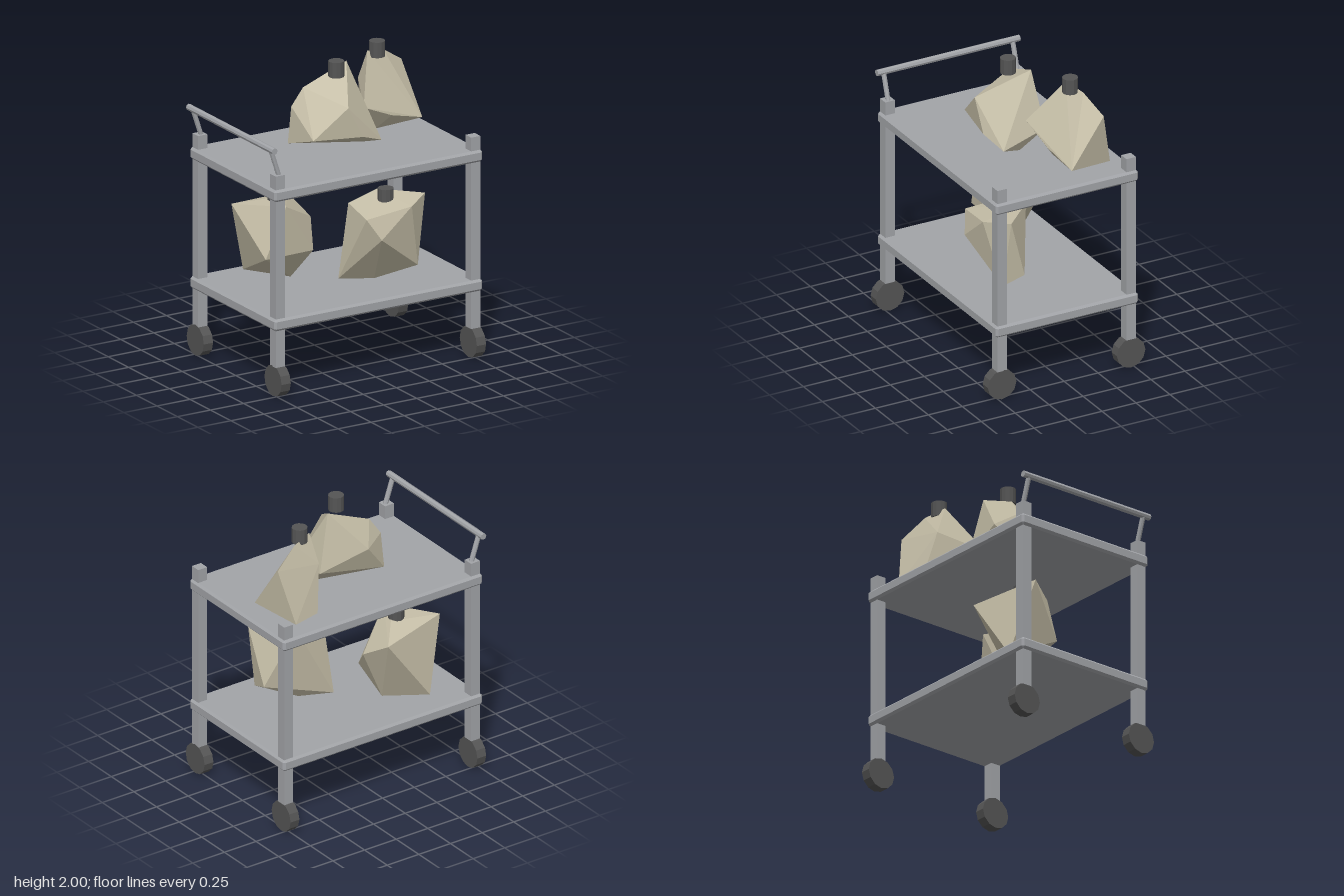
import * as THREE from 'three';
import { ConvexGeometry } from 'three/addons/geometries/ConvexGeometry.js';

const flat = (name, color) => {
  const m = new THREE.MeshStandardMaterial({ color, flatShading: true });
  m.name = name;
  return m;
};

// Box with every edge chamfered by c
function chamferBox(w, h, d, c) {
  const pts = [];
  for (const sx of [-1, 1]) for (const sy of [-1, 1]) for (const sz of [-1, 1]) {
    for (let k = 0; k < 3; k++) {
      pts.push(new THREE.Vector3(
        sx * (w / 2 - (k === 0 ? 0 : c)),
        sy * (h / 2 - (k === 1 ? 0 : c)),
        sz * (d / 2 - (k === 2 ? 0 : c))));
    }
  }
  return new ConvexGeometry(pts);
}

// Main corners of each faceted sack, with the centre of its cap
const sacks = [
  { name: 'topCentreSack', cap: [0.01, 1.95, 0], pts: [
    [-0.27, 1.45, -0.14], [-0.265, 1.55, 0.165], [-0.25, 1.7, -0.13], [-0.17, 1.82, -0.115],
    [0.145, 1.95, -0.095], [-0.035, 1.75, 0.22], [0.08, 1.535, 0.22], [0.25, 1.47, 0.165],
    [0.2, 1.425, 0.02], [0.24, 1.56, -0.145], [-0.1, 1.66, -0.205]] },
  { name: 'topSideSack', cap: [0.45, 1.947, -0.212], pts: [
    [0.225, 1.64, -0.012], [0.455, 1.54, -0.04], [0.71, 1.47, -0.08], [0.38, 1.44, -0.12],
    [0.62, 1.425, -0.41], [0.42, 1.43, -0.37], [0.7, 1.8, -0.32], [0.53, 1.91, -0.265],
    [0.38, 1.94, -0.22], [0.36, 1.74, -0.3]] },
  { name: 'lowerBackSack', cap: [-0.34, 1.08, -0.175], pts: [
    [-0.61, 1.06, -0.28], [-0.375, 1.08, 0.01], [-0.28, 1.075, -0.2], [-0.12, 1.02, -0.395],
    [-0.06, 0.9, -0.2], [-0.51, 0.735, -0.02], [-0.145, 0.735, -0.03], [-0.46, 0.56, -0.38],
    [-0.23, 0.53, -0.17]] },
  { name: 'lowerFrontSack', cap: [0.275, 1.09, 0.175], pts: [
    [0.035, 1.01, 0.33], [0.52, 1.09, 0.26], [0.35, 1.06, 0.375], [0.12, 0.87, 0.38],
    [0.45, 0.62, 0.285], [0.48, 0.68, 0.14], [0.21, 0.53, 0.14], [0, 0.535, 0.04],
    [0.3, 1.09, 0.03], [0.07, 1.04, 0.05]] },
];

export function createModel() {
  const group = new THREE.Group();
  group.name = 'trolley';
  const steel = flat('steel', 0xa2a4a8);
  const rubber = flat('darkRubber', 0x555555);
  const cream = flat('creamSack', 0xc6bfa8);

  const add = (name, geo, mat, x = 0, y = 0, z = 0) => {
    const mesh = new THREE.Mesh(geo, mat);
    mesh.name = name;
    mesh.position.set(x, y, z);
    group.add(mesh);
    return mesh;
  };

  // Shelves
  const shelf = chamferBox(1.575, 0.08, 1.05, 0.015);
  add('lowerShelf', shelf, steel, 0.01, 0.49, 0);
  add('upperShelf', shelf, steel, 0.01, 1.367, 0);

  // Legs and wheels at the four corners
  const leg = new THREE.BoxGeometry(0.07, 1.3, 0.07);
  const wheel = new THREE.CylinderGeometry(0.105, 0.105, 0.07, 12).rotateZ(Math.PI / 2);
  for (const x of [-0.727, 0.749]) for (const z of [-0.475, 0.475]) {
    add('leg', leg, steel, x, 0.85, z);
    add('wheel', wheel, rubber, x, 0.105, z);
  }

  // Push handle: two leaning struts and a cross bar
  const foot = new THREE.Vector2(-0.718, 1.49), grip = new THREE.Vector2(-0.78, 1.677);
  const lean = grip.clone().sub(foot);
  const strut = new THREE.CylinderGeometry(0.017, 0.017, lean.length(), 8);
  for (const z of [-0.475, 0.475]) {
    add('handleStrut', strut, steel, (foot.x + grip.x) / 2, (foot.y + grip.y) / 2, z)
      .rotation.z = Math.atan2(-lean.x, lean.y);
  }
  add('handleBar', new THREE.CylinderGeometry(0.022, 0.022, 1.05, 8).rotateX(Math.PI / 2),
    steel, grip.x, grip.y, 0);

  // Faceted sacks with dark caps
  const cap = new THREE.CylinderGeometry(0.052, 0.052, 0.105, 12);
  for (const s of sacks) {
    add(s.name, new ConvexGeometry(s.pts.map(p => new THREE.Vector3(...p))), cream);
    add(s.name + 'Cap', cap, rubber, ...s.cap);
  }
  return group;
}
